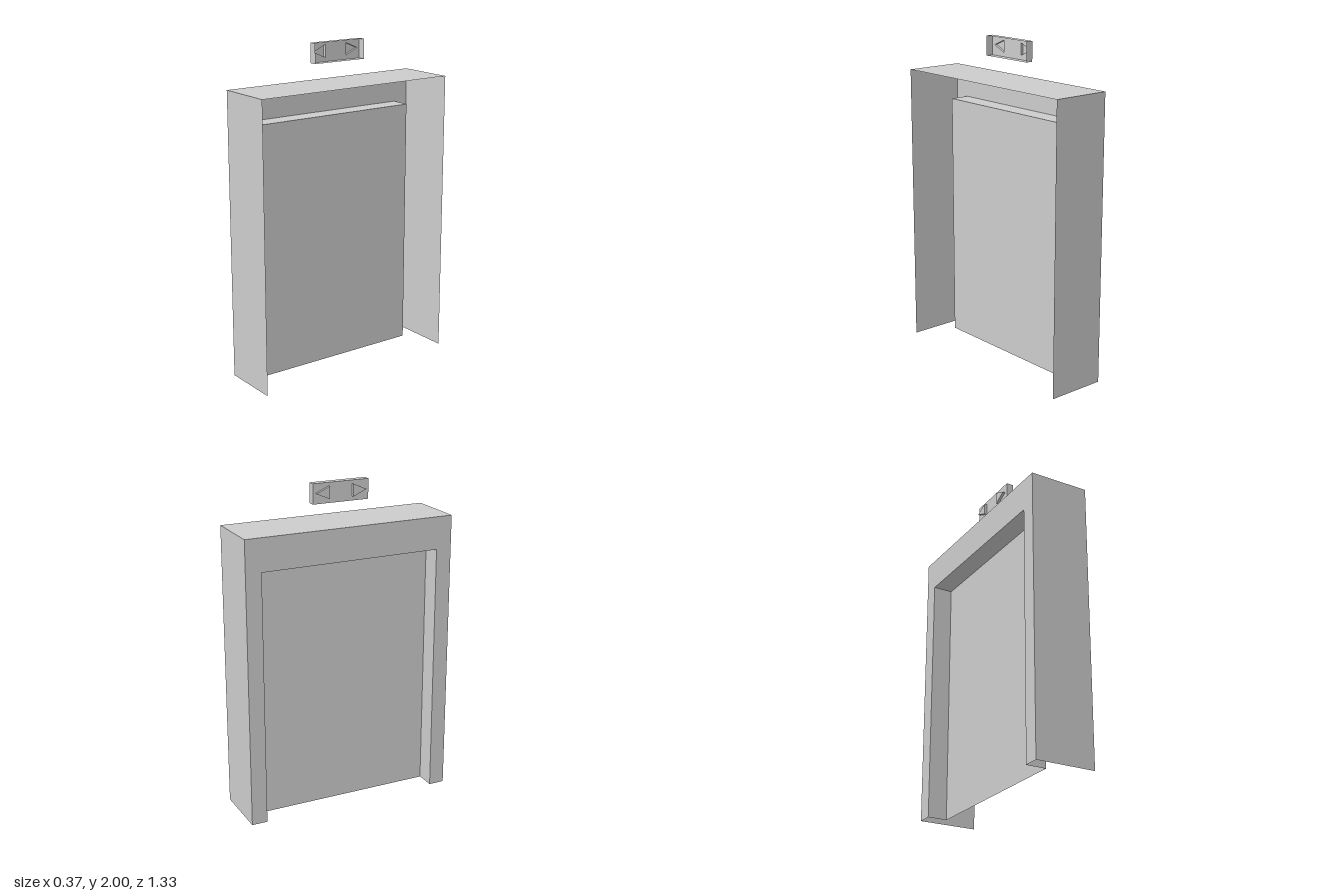
import * as THREE from 'three';

const material = new THREE.MeshStandardMaterial({ color: 0xcccccc, flatShading: true, side: THREE.DoubleSide });

// Thin strip following a (z, y) path, spanning x0 to x1; faces outward for anticlockwise paths
function ribbon(path, x0, x1, closed = false) {
  const positions = [];
  const count = closed ? path.length : path.length - 1;
  for (let i = 0; i < count; i++) {
    const [pz, py] = path[i];
    const [qz, qy] = path[(i + 1) % path.length];
    const a = [x0, py, pz], b = [x0, qy, qz], c = [x1, qy, qz], d = [x1, py, pz];
    positions.push(...a, ...d, ...c, ...a, ...c, ...b);
  }
  const geometry = new THREE.BufferGeometry();
  geometry.setAttribute('position', new THREE.Float32BufferAttribute(positions, 3));
  geometry.computeVertexNormals();
  return geometry;
}

// Flat sheet outlined in (z, y), facing -x
function sheet(path, x, holes = []) {
  const points = (p) => p.map(([z, y]) => new THREE.Vector2(z, y));
  const shape = new THREE.Shape(points(path));
  for (const hole of holes) shape.holes.push(new THREE.Path(points(hole)));
  return new THREE.ShapeGeometry(shape).rotateY(-Math.PI / 2).translate(x, 0, 0);
}

function add(group, name, geometry) {
  const mesh = new THREE.Mesh(geometry, material);
  mesh.name = name;
  group.add(mesh);
}

export function createModel() {
  const model = new THREE.Group();
  model.name = 'liftDoorway';

  // Surround: hood, portal face, reveal and recessed door
  const surround = new THREE.Group();
  surround.name = 'doorSurround';
  const outer = [[0.663, 0], [0.663, 1.757], [-0.663, 1.757], [-0.663, 0]];
  const opening = [[-0.565, 0], [-0.565, 1.557], [0.565, 1.557], [0.565, 0]];
  const faceX = -0.185, doorX = -0.062;
  add(surround, 'hood', ribbon(outer, faceX, 0.185));
  add(surround, 'portalFace', sheet([...outer, ...opening], faceX));
  add(surround, 'reveal', ribbon(opening, faceX, doorX));
  add(surround, 'door', sheet(opening, doorX));
  model.add(surround);

  // Indicator: shallow housing, open at the rear, with two raised arrows
  const indicator = new THREE.Group();
  indicator.name = 'indicator';
  const frame = [[0.165, 1.88], [0.165, 2], [-0.19, 2], [-0.19, 1.88]];
  const arrows = [
    [[-0.09, 1.905], [-0.09, 1.98], [-0.175, 1.943]],
    [[0.06, 1.905], [0.145, 1.943], [0.06, 1.98]],
  ];
  add(indicator, 'indicatorSides', ribbon(frame, -0.062, -0.016, true));
  add(indicator, 'indicatorFace', sheet(frame, -0.062, arrows));
  for (const arrow of arrows) {
    add(indicator, 'arrowSides', ribbon(arrow, -0.078, -0.062, true));
    add(indicator, 'arrowFace', sheet(arrow, -0.078));
  }
  model.add(indicator);

  return model;
}
